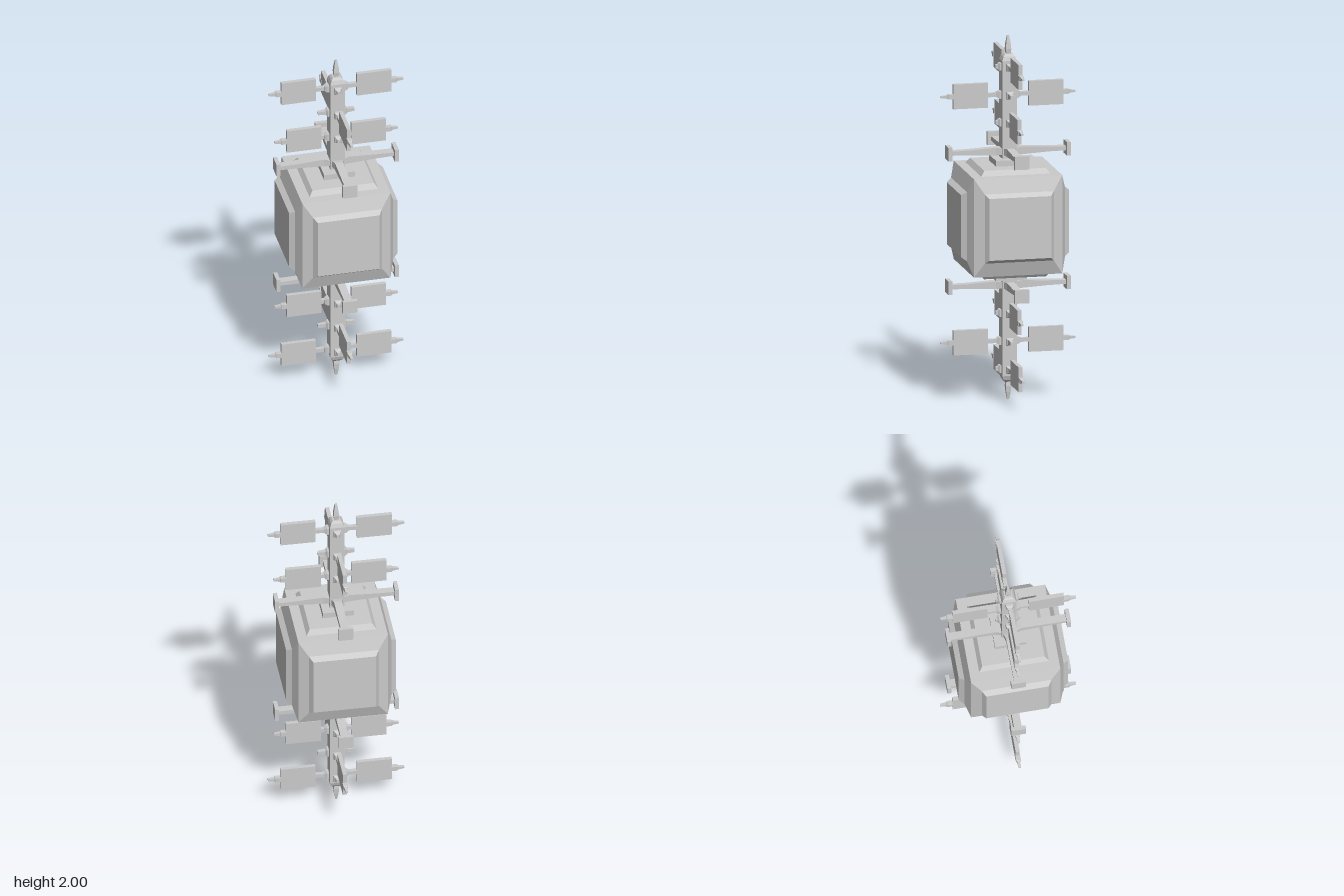
import * as THREE from 'three';

const material = new THREE.MeshStandardMaterial({ color: 0xcccccc, flatShading: true });

// Closed loft of rectangular sections [height, halfX, halfZ] stacked along +y
function loft(sections) {
  const pos = [];
  const corners = sections.map(([y, hx, hz]) =>
    [[-hx, y, hz], [hx, y, hz], [hx, y, -hz], [-hx, y, -hz]]);
  const quad = (a, b, c, d) => pos.push(...a, ...b, ...c, ...a, ...c, ...d);
  for (let i = 0; i + 1 < corners.length; i++) {
    const a = corners[i], b = corners[i + 1];
    for (let k = 0; k < 4; k++) {
      const n = (k + 1) % 4;
      quad(a[k], a[n], b[n], b[k]);
    }
  }
  const bottom = corners[0], top = corners[corners.length - 1];
  quad(bottom[3], bottom[2], bottom[1], bottom[0]);
  quad(...top);
  const g = new THREE.BufferGeometry();
  g.setAttribute('position', new THREE.Float32BufferAttribute(pos, 3));
  g.computeVertexNormals();
  return g;
}

// Loft pointing outward along +x: sections are [distance, halfHeight, halfWidth]
const outward = (sections) => loft(sections).rotateZ(-Math.PI / 2);

function add(parent, name, geometry, y = 0, turn = 0) {
  const mesh = new THREE.Mesh(geometry, material);
  mesh.name = name;
  mesh.position.y = y;
  mesh.rotation.y = turn * Math.PI / 2;
  parent.add(mesh);
  return mesh;
}

// One bladed rod, with the blade starting at the given distance
function addBlade(parent, y, turn, start) {
  const end = start + 0.19;
  const arm = new THREE.Group();
  arm.name = 'bladeArm';
  add(arm, 'rodSocket', outward([[0.035, 0.02, 0.02], [0.052, 0.02, 0.02], [0.065, 0.013, 0.013]]));
  add(arm, 'rod', outward([[0.04, 0.011, 0.011], [start + 0.01, 0.011, 0.011]]));
  add(arm, 'blade', outward([[start, 0.068, 0.011], [end, 0.068, 0.011]]));
  add(arm, 'rodTip', outward([[end - 0.005, 0.013, 0.013], [end + 0.028, 0.013, 0.013],
    [end + 0.033, 0.009, 0.009], [end + 0.067, 0.005, 0.007]]));
  arm.position.y = y;
  arm.rotation.y = turn * Math.PI / 2;
  parent.add(arm);
}

// Upper mast assembly, measured from the centre of the core
function createMast() {
  const mast = new THREE.Group();
  add(mast, 'mastCollar', loft([[0.295, 0.085, 0.085], [0.33, 0.085, 0.085]]));
  add(mast, 'mastColumn', loft([[0.32, 0.04, 0.04], [0.865, 0.04, 0.04],
    [0.888, 0.032, 0.032], [0.9, 0.022, 0.022]]));
  add(mast, 'spike', loft([[0.895, 0.011, 0.011], [0.925, 0.015, 0.015],
    [0.96, 0.012, 0.012], [1, 0.005, 0.005]]));

  // Four tapered arms with end plates
  for (let t = 0; t < 4; t++) {
    add(mast, 'supportArm', outward([[0.03, 0.016, 0.034], [0.07, 0.021, 0.022],
      [0.22, 0.013, 0.021], [0.318, 0.011, 0.021]]), 0.367, t);
    add(mast, 'armEndPlate', outward([[0.315, 0.037, 0.04], [0.337, 0.037, 0.04]]), 0.367, t);
  }

  // Three blade levels, alternating direction, with short stubs across
  const levels = [[0.523, 0, 0.083, 0.07], [0.676, 1, 0.113, 0.1], [0.83, 0, 0.113, 0.07]];
  for (const [y, turn, start, stub] of levels) {
    for (const t of [turn, turn + 2]) {
      addBlade(mast, y, t, start);
      add(mast, 'stub', outward([[0.035, 0.02, 0.02], [0.05, 0.02, 0.02],
        [0.058, 0.012, 0.012], [stub, 0.009, 0.009]]), y, t + 1);
    }
  }
  return mast;
}

export function createModel() {
  const model = new THREE.Group();
  model.name = 'antennaCore';

  // Core block with bulged sides and raised panels
  const core = new THREE.Group();
  core.name = 'core';
  core.position.y = 1;
  add(core, 'coreBlock', loft([[-0.27, 0.243, 0.243], [0.27, 0.243, 0.243]]));
  const panel = [[0.265, 0.19, 0.19], [0.27, 0.19, 0.19], [0.298, 0.17, 0.17]];
  for (let t = 0; t < 4; t++) {
    add(core, 'sideBulge', outward([[0.243, 0.27, 0.243], [0.27, 0.19, 0.19]]), 0, t);
    add(core, 'sidePanel', outward(panel), 0, t);
  }
  add(core, 'topPanel', loft(panel));
  add(core, 'bottomPanel', loft(panel).rotateX(Math.PI));
  model.add(core);

  // Identical masts above and below
  for (const [name, angle] of [['upperMast', 0], ['lowerMast', Math.PI]]) {
    const mast = createMast();
    mast.name = name;
    mast.position.y = 1;
    mast.rotation.z = angle;
    model.add(mast);
  }
  return model;
}
